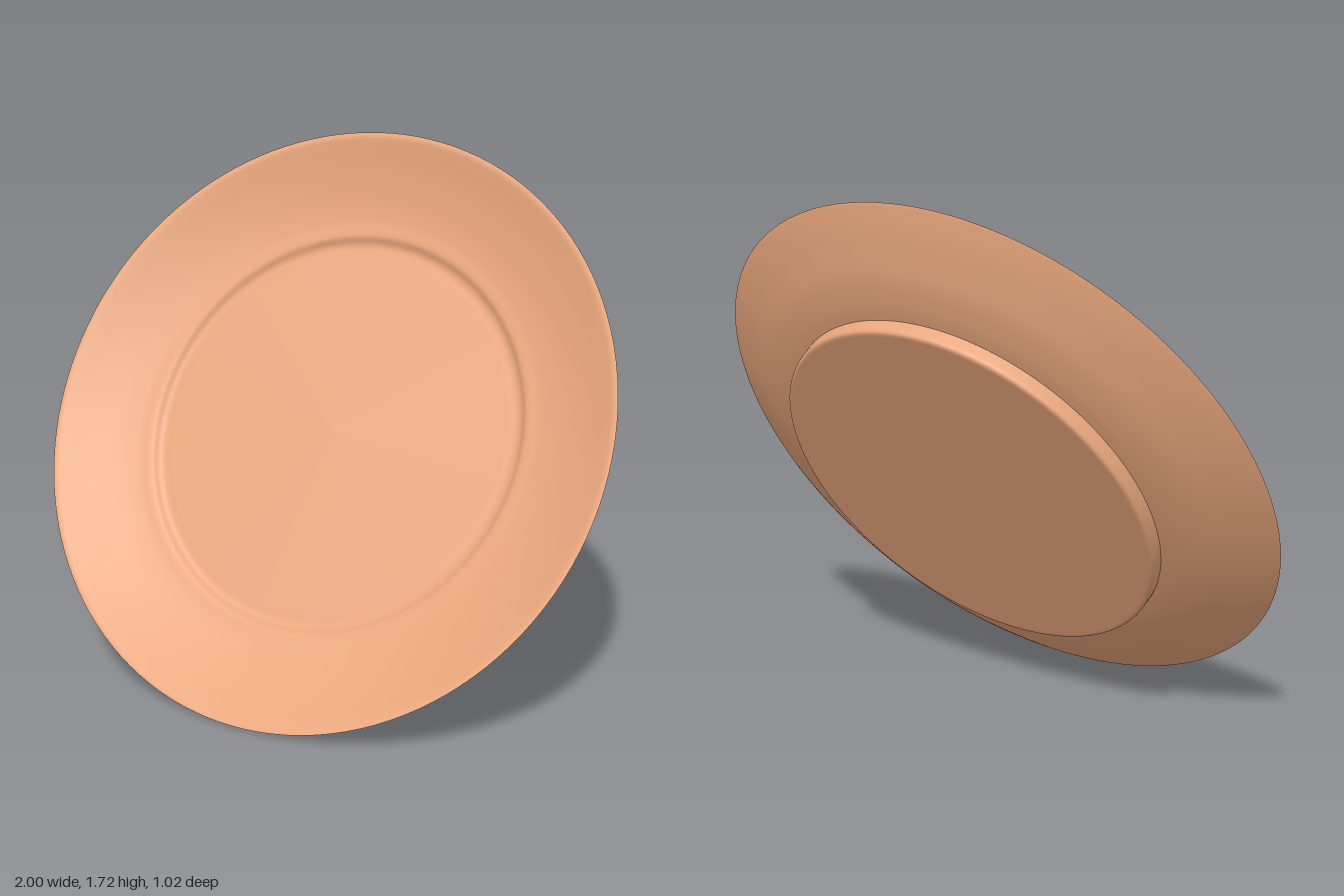
import * as THREE from 'three';

const SEGMENTS = 128;

// Smooth curve through [radius, height] pairs
function smooth(points, count) {
  const curve = new THREE.SplineCurve(points.map(([r, h]) => new THREE.Vector2(r, h)));
  return curve.getPoints(count).map((p) => new THREE.Vector2(Math.max(p.x, 0), p.y));
}

const line = (...points) => points.map(([r, h]) => new THREE.Vector2(r, h));

export function createModel() {
  const model = new THREE.Group();
  model.name = 'plate';
  const clay = new THREE.MeshStandardMaterial({ color: 0xe8a67c, side: THREE.DoubleSide });

  const turn = (name, profile) => {
    const mesh = new THREE.Mesh(new THREE.LatheGeometry(profile, SEGMENTS), clay);
    mesh.name = name;
    model.add(mesh);
  };

  // Flat base with a rounded outer edge
  turn('footBase', line([0, -0.179], [0.64, -0.179]));
  turn('footEdge', smooth([[0.64, -0.179], [0.657, -0.178], [0.665, -0.17], [0.667, -0.155], [0.668, -0.128]], 16));

  // Outer bowl from the foot up to the thin lip
  turn('underside', smooth([
    [0.664, -0.13], [0.72, -0.12], [0.8, -0.097], [0.89, -0.057], [0.94, -0.033], [0.985, -0.009], [1, 0],
  ], 40));

  // Inner face: lip, curved wall, then a small step down to the floor
  turn('innerWall', smooth([
    [1, 0], [0.985, -0.002], [0.965, -0.011], [0.89, -0.049], [0.8, -0.087], [0.73, -0.108], [0.688, -0.115],
    [0.672, -0.12], [0.655, -0.133], [0.638, -0.138], [0.61, -0.138],
  ], 70));
  turn('floor', line([0.61, -0.138], [0, -0.138]));

  // Lean the plate back so that it stands on its lip
  model.rotation.x = THREE.MathUtils.degToRad(59.4);
  model.position.y = 0.861;

  const root = new THREE.Group();
  root.name = 'leaningPlate';
  root.add(model);
  return root;
}
